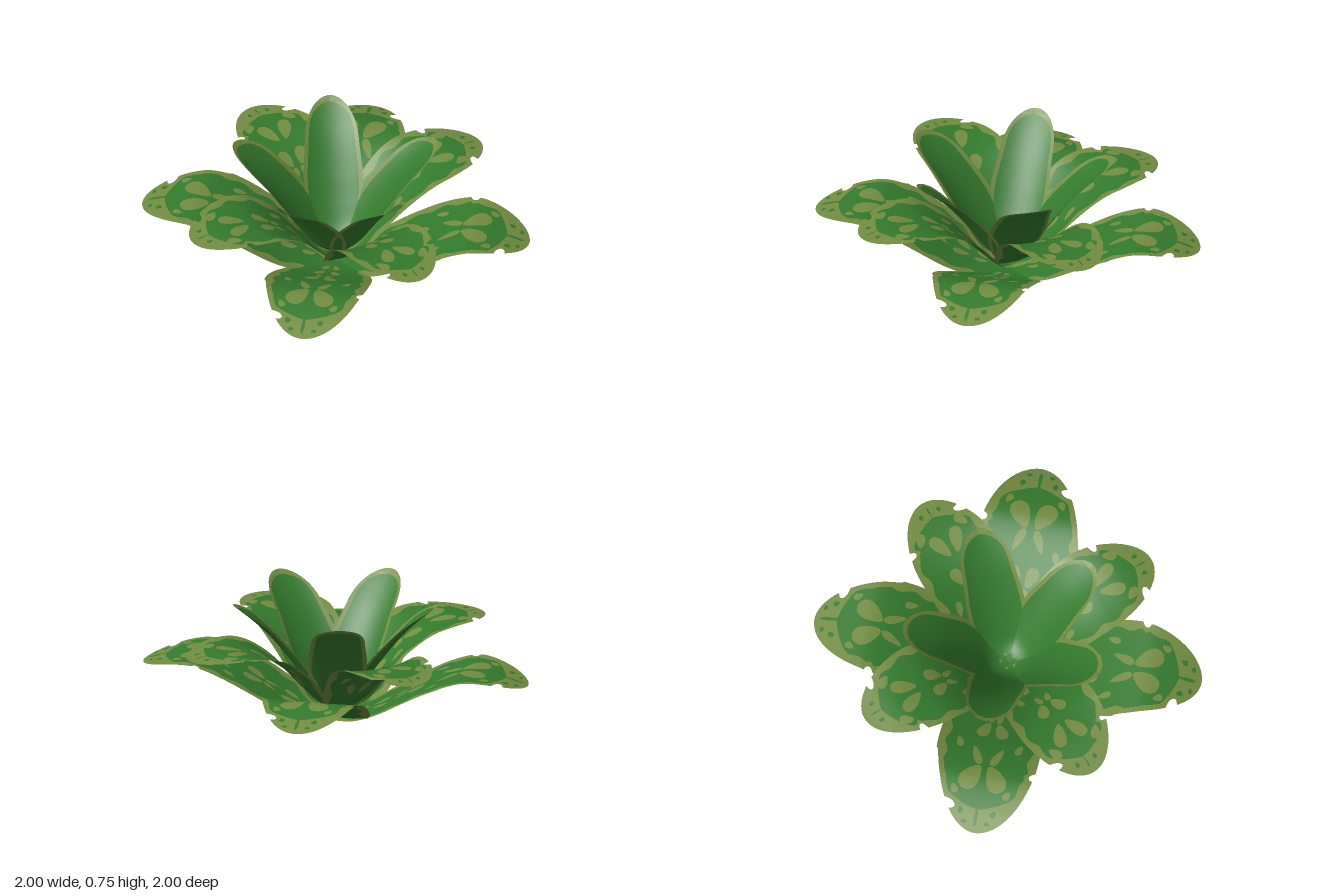
import * as THREE from 'three';
import { mergeGeometries } from 'three/addons/utils/BufferGeometryUtils.js';

const green = new THREE.MeshStandardMaterial({ name: 'leaf green', color: 0x337a2d, side: THREE.DoubleSide });
const olive = new THREE.MeshStandardMaterial({ name: 'olive markings', color: 0x728c40, side: THREE.DoubleSide });

// Smooth interpolation through [u, value] points
function interp(pts, u) {
  const n = pts.length;
  let i = 0;
  while (i < n - 2 && u > pts[i + 1][0]) i++;
  const slope = k => {
    const a = pts[Math.max(k - 1, 0)], b = pts[Math.min(k + 1, n - 1)];
    return (b[1] - a[1]) / (b[0] - a[0]);
  };
  const [x0, y0] = pts[i], [x1, y1] = pts[i + 1];
  const h = x1 - x0, t = Math.min(Math.max((u - x0) / h, 0), 1), t2 = t * t, t3 = t2 * t;
  return (2 * t3 - 3 * t2 + 1) * y0 + (t3 - 2 * t2 + t) * h * slope(i)
    + (3 * t2 - 2 * t3) * y1 + (t3 - t2) * h * slope(i + 1);
}

// Leaf kinds: rise is height along the leaf, width is half-width along it.
// Cup lifts the edges and fades out at flatAt; wrap pulls them towards the middle.
// Bites are [along, side, depth, half length]; marks are [along, across, half length, half width, tilt].
const upper = {
  length: 1, roundFrom: 0.6, cup: 1.5, flatAt: 0.82, wrap: 0, border: 0.045, wave: 0.012, tip: 0.11,
  rise: [[0, 0.03], [0.1, 0.07], [0.2, 0.17], [0.3, 0.28], [0.4, 0.365], [0.5, 0.43], [0.6, 0.47], [0.78, 0.5], [1, 0.48]],
  width: [[0, 0.09], [0.1, 0.15], [0.25, 0.215], [0.4, 0.255], [0.55, 0.268], [0.7, 0.26], [1, 0.24]],
  bites: [[0.86, -1, 0.05, 0.026], [0.73, 1, 0.04, 0.022]],
  marks: [[0.7, 0.055, 0.08, 0.038, -0.4], [0.5, 0.05, 0.055, 0.034, -0.4],
    [0.41, 0.03, 0.035, 0.018, 0.3], [0.27, 0.045, 0.045, 0.025, -0.4],
    [0.79, 0.14, 0.045, 0.028, 0.5], [0.35, 0.13, 0.04, 0.02, 0.3]],
  spots: [[0.915, 0.06, 0.018, 0.012, 0], [0.925, 0, 0.035, 0.005, 0]],
};
const lower = {
  length: 1.18, roundFrom: 0.75, cup: 0.1, flatAt: 1.2, wrap: 0, border: 0.055, wave: 0.012, tip: 0.13,
  rise: [[0, 0], [0.15, 0.035], [0.3, 0.1], [0.45, 0.185], [0.6, 0.265], [0.75, 0.325], [0.86, 0.343], [1.02, 0.317], [1.18, 0.268]],
  width: [[0, 0.11], [0.1, 0.18], [0.2, 0.235], [0.35, 0.285], [0.5, 0.305], [0.62, 0.312], [0.75, 0.308], [0.9, 0.295], [1.18, 0.28]],
  bites: [[0.95, -1, 0.028, 0.26], [1.03, -1, 0.05, 0.03], [0.8, 1, 0.03, 0.025]],
  marks: [[0.85, 0.072, 0.09, 0.056, -0.5], [0.7, 0.062, 0.07, 0.024, 0.4], [0.94, 0.16, 0.03, 0.02, 0.5],
    [0.5, 0.05, 0.06, 0.036, -0.4], [0.4, 0.03, 0.04, 0.016, 0.3], [0.28, 0.045, 0.05, 0.025, -0.4],
    [0.62, 0.18, 0.04, 0.02, 0.3], [0.16, 0.03, 0.04, 0.018, -0.3]],
  spots: [[1.08, 0, 0.065, 0.01, 0], [1.06, 0.1, 0.02, 0.016, 0.4], [1.12, 0.07, 0.012, 0.016, 0]],
};
const inner = {
  length: 0.635, roundFrom: 0.43, cup: 2, flatAt: 1.1, wrap: 0.75, border: 0.024, wave: 0, tip: 0.028,
  rise: [[0, 0.09], [0.06, 0.1], [0.12, 0.145], [0.2, 0.255], [0.3, 0.395], [0.42, 0.545], [0.53, 0.655], [0.635, 0.745]],
  width: [[0, 0.05], [0.12, 0.125], [0.2, 0.168], [0.28, 0.178], [0.42, 0.163], [0.635, 0.15]],
  bites: [], marks: [], spots: [],
};

function outline(k, u, length, power) {
  const t = Math.max(0, (u - k.roundFrom) / (length - k.roundFrom));
  return interp(k.width, u) * Math.sqrt(Math.max(0, 1 - t ** power));
}

// Point on the bent leaf surface, lifted along its normal
function bend(k, u, p, lift = 0) {
  const slope = (interp(k.rise, u + 0.005) - interp(k.rise, u - 0.005)) / 0.01;
  const len = Math.hypot(1, slope);
  const cup = k.cup * Math.max(0, 1 - u / k.flatAt);
  return [p, interp(k.rise, u) + cup * p * p + lift / len, u - k.wrap * p * p - lift * slope / len];
}

// Blade: green middle with an olive border, bitten along the edge
function bladeGeometry(k) {
  const rows = 180, cols = 12, pos = [], rim = [], middle = [];
  for (let i = 0; i <= rows; i++) {
    const u = k.length * (1 - Math.pow(1 - i / rows, 1.6));
    const full = outline(k, u, k.length, 2);
    const edge = side => {
      let w = full;
      for (const [at, s, depth, half] of k.bites) {
        if (s === side) w -= depth * Math.sqrt(Math.max(0, 1 - ((u - at) / half) ** 2));
      }
      return Math.max(w, 0);
    };
    const fill = Math.max(0, outline(k, u, k.length - k.tip, 3) - k.border - k.wave * Math.sin(u * 38));
    const l = edge(-1), r = edge(1);
    const inset = k.border * 0.6;
    const fl = Math.min(fill, Math.max(0, l - inset)), fr = Math.min(fill, Math.max(0, r - inset));
    pos.push(...bend(k, u, -l));
    for (let j = 0; j < cols - 1; j++) pos.push(...bend(k, u, -fl + (fl + fr) * j / (cols - 2)));
    pos.push(...bend(k, u, r));
  }
  for (let i = 0; i < rows; i++) {
    for (let j = 0; j < cols; j++) {
      const a = i * (cols + 1) + j, b = a + cols + 1;
      (j === 0 || j === cols - 1 ? rim : middle).push(a, b, a + 1, b, b + 1, a + 1);
    }
  }
  const g = new THREE.BufferGeometry();
  g.setAttribute('position', new THREE.Float32BufferAttribute(pos, 3));
  g.setIndex([...rim, ...middle]);
  g.addGroup(0, rim.length, 0);
  g.addGroup(rim.length, middle.length, 1);
  g.computeVertexNormals();
  return g;
}

// Mirrored teardrop markings, broad at the outer end, laid on both faces of the blade
function markGeometry(k, marks, lift) {
  const parts = [];
  for (const [at, across, ru, rp, tilt] of marks) {
    for (const side of across === 0 ? [1] : [-1, 1]) {
      for (const face of [-lift, lift]) {
        const g = new THREE.RingGeometry(0, 1, 18, 3);
        const a = g.attributes.position, c = Math.cos(tilt), s = Math.sin(tilt);
        for (let i = 0; i < a.count; i++) {
          const x = a.getX(i) * rp * (1 + 0.4 * a.getY(i)), y = a.getY(i) * ru;
          a.setXYZ(i, ...bend(k, at + x * s + y * c, side * (across + x * c - y * s), face));
        }
        g.computeVertexNormals();
        parts.push(g);
      }
    }
  }
  return mergeGeometries(parts);
}

function addRing(plant, name, kind, angles) {
  const blade = bladeGeometry(kind);
  const marks = kind.marks.length ? markGeometry(kind, kind.marks, 0.003) : null;
  const spots = kind.spots.length ? markGeometry(kind, kind.spots, 0.004) : null;
  angles.forEach((deg, i) => {
    const leaf = new THREE.Group();
    leaf.name = name + (i + 1);
    const add = (part, geometry, material) => {
      const mesh = new THREE.Mesh(geometry, material);
      mesh.name = part;
      leaf.add(mesh);
    };
    add('blade', blade, [olive, green]);
    if (marks) add('oliveMarks', marks, olive);
    if (spots) add('greenSpots', spots, green);
    leaf.rotation.y = THREE.MathUtils.degToRad(deg);
    // Side leaves sit slightly higher than front and back ones
    if (kind === upper && i % 2) leaf.position.y = 0.02;
    plant.add(leaf);
  });
}

export function createModel() {
  const plant = new THREE.Group();
  plant.name = 'leafRosette';
  addRing(plant, 'lowerLeaf', lower, [49, 139, 229, 319]);
  addRing(plant, 'upperLeaf', upper, [0, 90, 180, 270]);
  addRing(plant, 'innerLeaf', inner, [5, 76, 153, 226, 300]);
  return plant;
}
